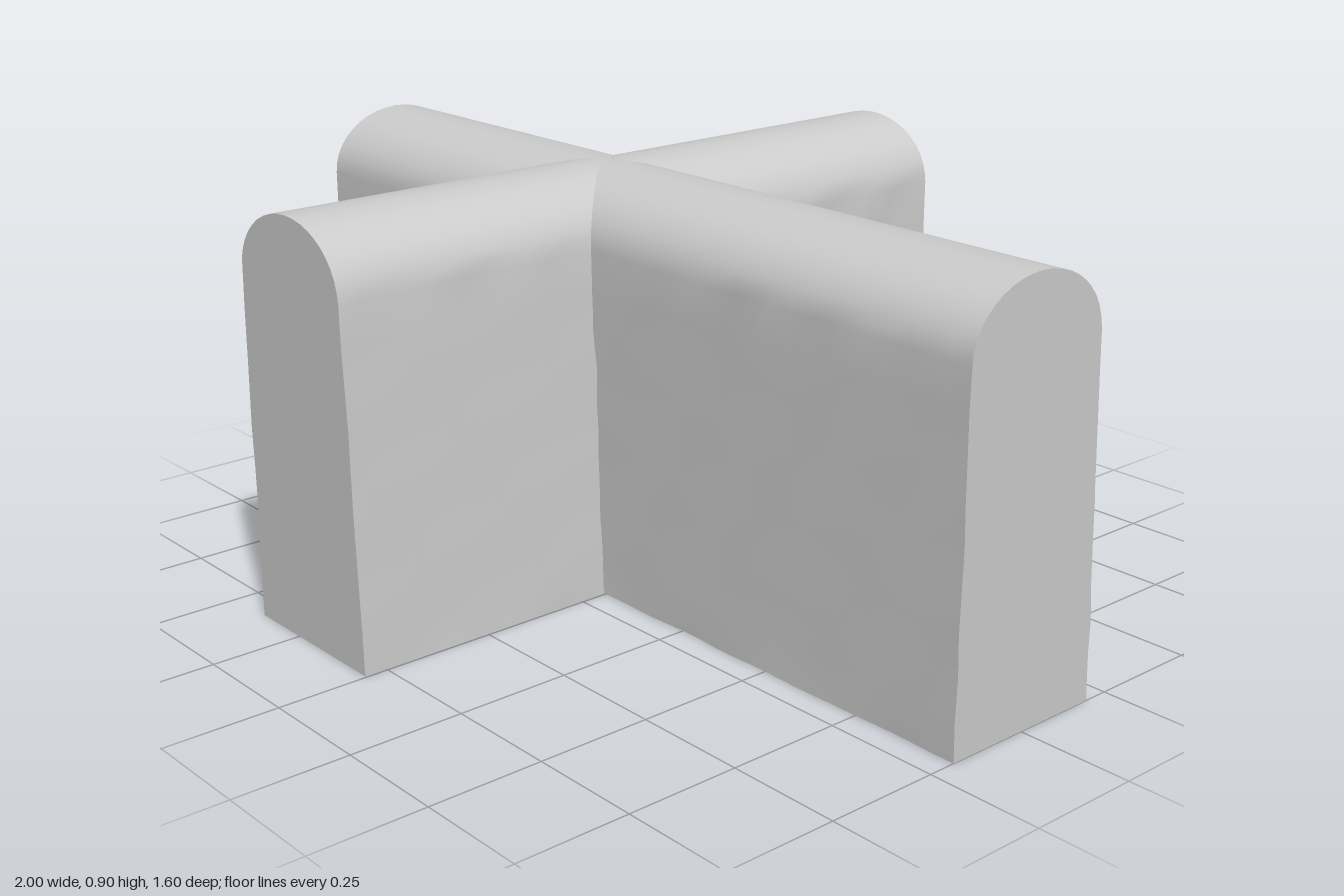
import * as THREE from 'three';
import { toCreasedNormals } from 'three/addons/utils/BufferGeometryUtils.js';

const SPRING = 0.76; // height where the rounded coping starts
const TOP = 0.9;

// Wall section: one upright side, one side leaning inwards, rounded top
function wallSection() {
  const rows = 9, arc = 20;
  const points = [];
  for (let i = 0; i < rows; i++) {
    const t = i / rows;
    points.push(new THREE.Vector2(THREE.MathUtils.lerp(0.195, 0.165, t), SPRING * t));
  }
  for (let i = 0; i <= arc; i++) {
    const a = (i / arc) * Math.PI;
    points.push(new THREE.Vector2(-0.012 + 0.176 * Math.cos(a), SPRING + (TOP - SPRING) * Math.sin(a)));
  }
  for (let i = rows - 1; i >= 0; i--) {
    points.push(new THREE.Vector2(-0.188, (SPRING * i) / rows));
  }
  return new THREE.Shape(points);
}

// Wall running along z from 0 to length, with gently uneven plaster sides
function wall(name, length, phase) {
  const geometry = new THREE.ExtrudeGeometry(wallSection(), {
    depth: length, steps: Math.round(length * 20), bevelEnabled: false,
  });
  const p = geometry.attributes.position;
  for (let i = 0; i < p.count; i++) {
    const x = p.getX(i), y = p.getY(i), z = p.getZ(i);
    if (y > SPRING + 0.01) continue;
    const s = Math.sign(x);
    const bump = Math.sin(17 * z + 9 * y + phase + s) * Math.sin(21 * y - 7 * z + 2 * s)
      + 0.5 * Math.sin(31 * z - 23 * y + phase);
    p.setX(i, x + 0.0025 * bump);
  }
  const mesh = new THREE.Mesh(
    toCreasedNormals(geometry, 0.6),
    new THREE.MeshStandardMaterial({ color: 0xcccccc, roughness: 0.9 }),
  );
  mesh.name = name;
  return mesh;
}

export function createModel() {
  const group = new THREE.Group();
  group.name = 'crossingWalls';

  // Long wall across the full width
  const longWall = wall('longWall', 2, 0);
  longWall.rotation.y = Math.PI / 2;
  longWall.position.x = -1;

  // Short arms, each a half turn of the other about the crossing
  const frontArm = wall('frontArm', 0.8, 1.3);
  frontArm.position.x = -0.2;
  const backArm = wall('backArm', 0.8, 2.6);
  backArm.rotation.y = Math.PI;
  backArm.position.x = -0.2;

  group.add(longWall, frontArm, backArm);
  return group;
}
